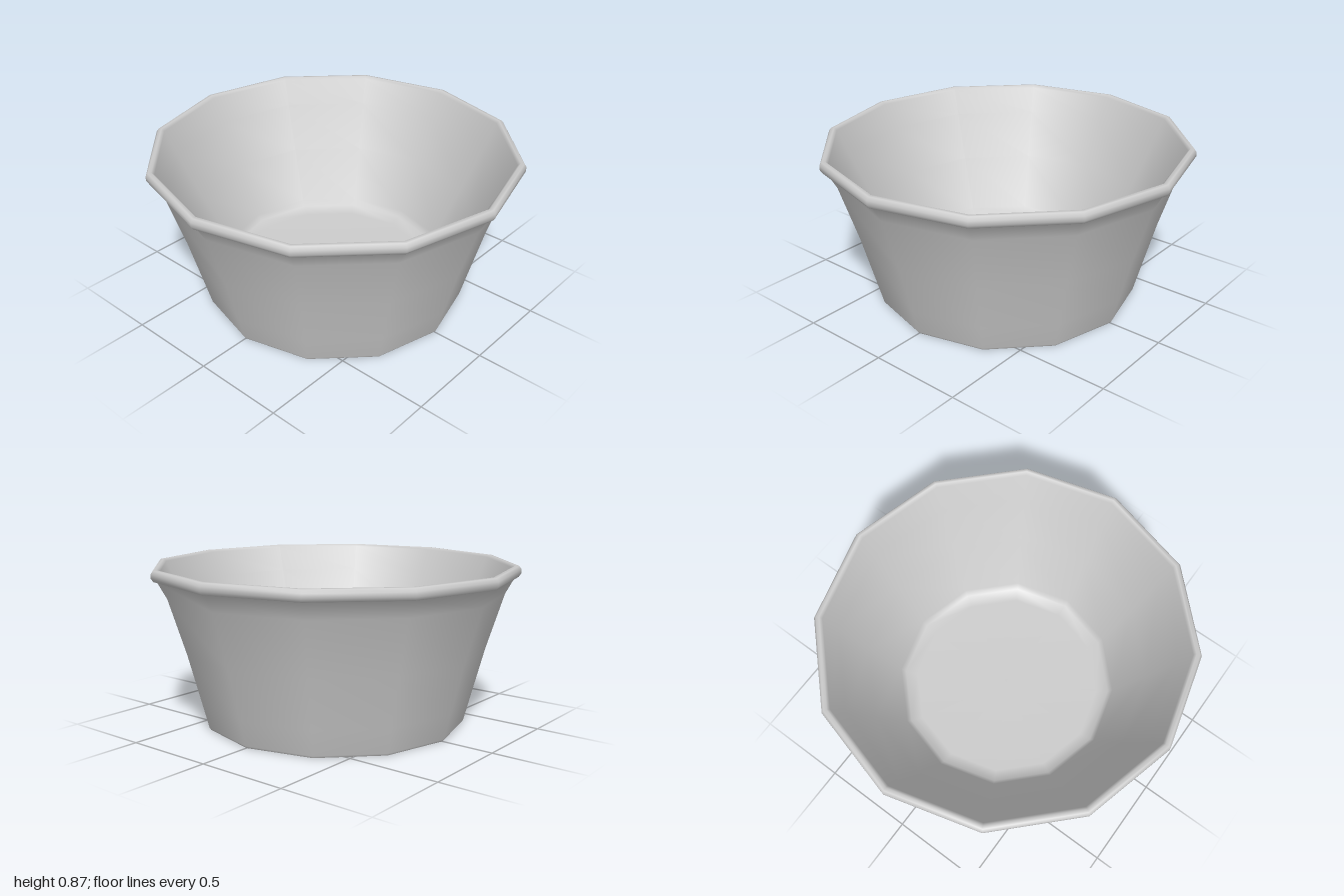
import * as THREE from 'three';

const SIDES = 12;
const WIDTH_RATIO = 0.99; // the plan is a slight oval, narrower across

// Lathe a list of [radius, height] pairs into a smooth-shaded twelve-sided surface
function turned(name, profile) {
  const geometry = new THREE.LatheGeometry(profile.map(([r, y]) => new THREE.Vector2(r, y)), SIDES);
  geometry.scale(WIDTH_RATIO, 1, 1);
  const mesh = new THREE.Mesh(geometry, new THREE.MeshStandardMaterial({ color: 0xcccccc }));
  mesh.name = name;
  return mesh;
}

export function createModel() {
  const bowl = new THREE.Group();
  bowl.name = 'bowl';

  // Shallow hollow underneath, running out to a thin foot edge
  bowl.add(turned('underside', [
    [0, 0.08], [0.55, 0.08], [0.65, 0.055], [0.695, 0.005], [0.712, 0],
  ]));

  // Flared outer wall, rolled rim, sloping inner wall and flat floor in one smooth sweep
  bowl.add(turned('wallRimAndFloor', [
    [0.712, 0], [0.72, 0.012], [0.756, 0.15], [0.827, 0.42], [0.92, 0.72], [0.968, 0.808],
    [0.988, 0.812], [1, 0.83], [1, 0.853], [0.988, 0.87], [0.97, 0.872], [0.955, 0.858],
    [0.895, 0.72], [0.77, 0.47], [0.62, 0.19], [0.595, 0.158], [0.53, 0.135], [0, 0.135],
  ]));
  return bowl;
}
